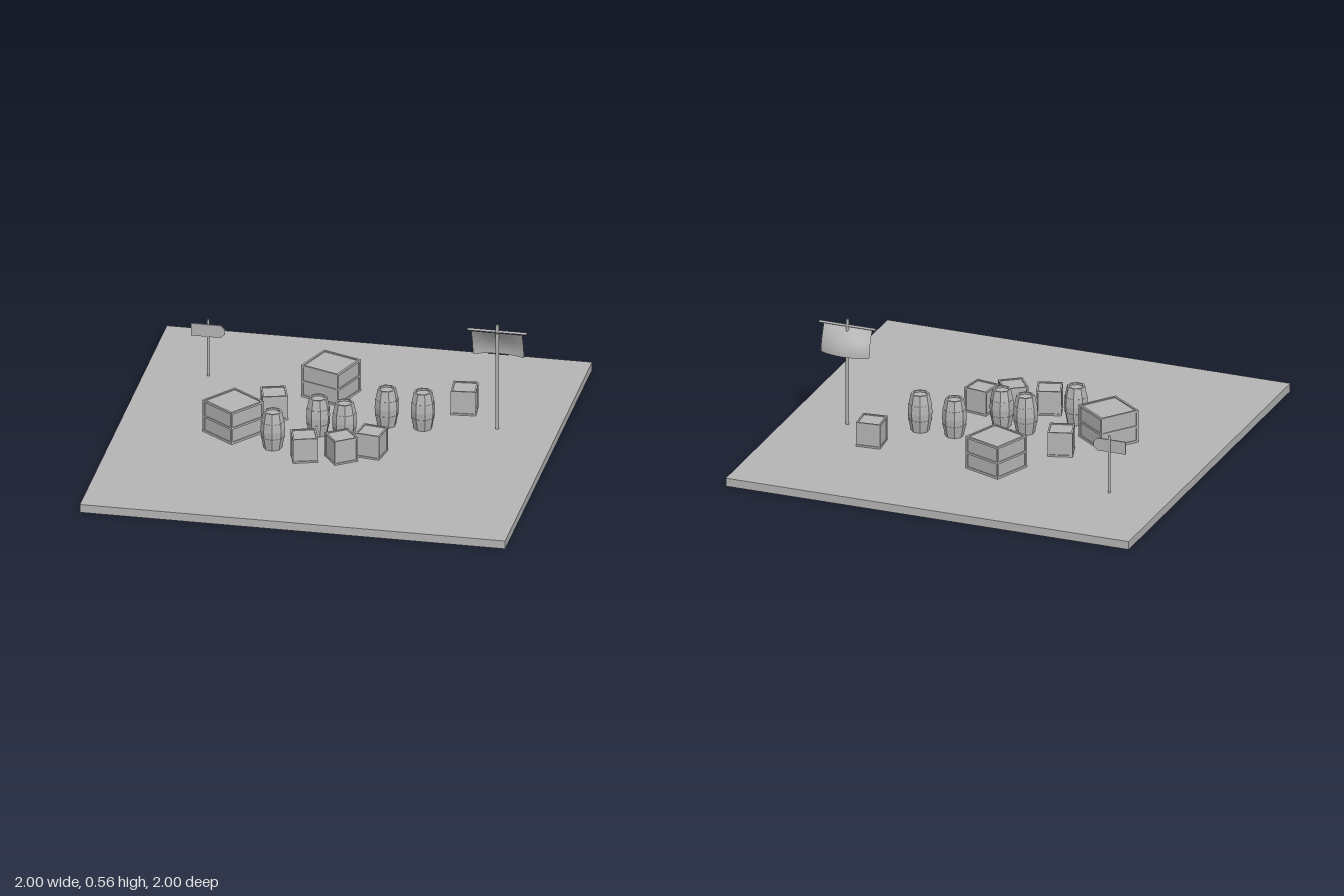
import * as THREE from 'three';

const grey = new THREE.MeshStandardMaterial({ color: 0xb4b4b4 });
grey.name = 'plain grey';
const greyFlat = grey;
const GROUND = 0.04;

function add(parent, name, geometry, x = 0, y = 0, z = 0, material = grey) {
  const mesh = new THREE.Mesh(geometry, material);
  mesh.name = name;
  mesh.position.set(x, y, z);
  parent.add(mesh);
  return mesh;
}

// Crate: recessed core inside a thin frame, with an optional middle band
function crate(name, x, z, size, height, turn, banded) {
  const g = new THREE.Group();
  g.name = name;
  g.position.set(x, GROUND, z);
  g.rotation.y = turn;
  const bar = banded ? 0.01 : 0.008;
  const inset = 0.005;
  const edge = size / 2 - bar / 2;
  add(g, 'cratePanels', new THREE.BoxGeometry(size - 2 * inset, height - inset, size - 2 * inset), 0, (height - inset) / 2, 0);
  const levels = [bar / 2, height - bar / 2];
  if (banded) levels.push(height * 0.52 - bar / 2);
  for (const s of [-1, 1]) {
    for (const t of [-1, 1]) {
      add(g, 'cornerPost', new THREE.BoxGeometry(bar, height, bar), s * edge, height / 2, t * edge);
    }
    for (const y of levels) {
      add(g, 'frameRail', new THREE.BoxGeometry(size - 2 * bar, bar, bar), 0, y, s * edge);
      add(g, 'frameRail', new THREE.BoxGeometry(bar, bar, size - 2 * bar), s * edge, y, 0);
    }
  }
  return g;
}

// Barrel: eight staves, recessed lid and two hoops
function barrel(x, z, turn) {
  const g = new THREE.Group();
  g.name = 'barrel';
  g.position.set(x, GROUND, z);
  g.rotation.y = turn;
  const profile = [[0, 0], [0.043, 0], [0.053, 0.05], [0.057, 0.092], [0.053, 0.134],
    [0.043, 0.184], [0.034, 0.184], [0.034, 0.175], [0, 0.175]].map(p => new THREE.Vector2(...p));
  const body = new THREE.LatheGeometry(profile, 8).toNonIndexed();
  body.computeVertexNormals();
  add(g, 'barrelBody', body);
  for (const y of [0.055, 0.129]) {
    add(g, 'barrelHoop', new THREE.CylinderGeometry(y > 0.1 ? 0.0545 : 0.056, y > 0.1 ? 0.056 : 0.0545, 0.01, 8, 1).toNonIndexed(), 0, y, 0);
  }
  g.children.forEach(m => m.geometry.computeVertexNormals());
  return g;
}

// Cloth hanging from the yard and blown backwards
function sailGeometry(width, height) {
  const geo = new THREE.PlaneGeometry(width, height, 12, 8);
  const p = geo.attributes.position;
  for (let i = 0; i < p.count; i++) {
    const u = p.getX(i) / (width / 2);
    const t = 0.5 - p.getY(i) / height;
    const depth = 0.04 + 0.027 * (1 - u * u);
    p.setZ(i, -depth * Math.sin(t * Math.PI / 2));
  }
  geo.computeVertexNormals();
  return geo;
}

export function createModel() {
  const model = new THREE.Group();
  model.name = 'cargoYard';

  add(model, 'groundSlab', new THREE.BoxGeometry(2, GROUND, 2), 0, GROUND / 2, 0);

  // Crates: x, z, turn
  for (const [x, z, turn] of [[-0.467, 0.08, -0.64], [-0.11, -0.42, -0.36]]) {
    model.add(crate('largeCrate', x, z, 0.2, 0.16, turn, true));
  }
  for (const [x, z, turn] of [[-0.32, -0.14, 0.29], [0.53, -0.367, 0.09], [-0.09, 0.29, 0.31],
    [0.08, 0.265, 0.62], [0.205, 0.185, -0.16]]) {
    model.add(crate('smallCrate', x, z, 0.117, 0.12, turn, false));
  }

  // Barrels: x, z, turn
  for (const [x, z, turn] of [[-0.08, 0.018, 0.39], [0.05, 0.048, 0.25], [0.21, -0.14, 0.39],
    [0.38, -0.14, 0.39], [-0.255, 0.208, 0.15]]) {
    model.add(barrel(x, z, turn));
  }

  // Mast with yard and sail
  const mast = new THREE.Group();
  mast.name = 'sailMast';
  mast.position.set(0.717, 0, -0.2);
  add(mast, 'mastPole', new THREE.CylinderGeometry(0.008, 0.009, 0.525, 8), 0, 0.3025, 0);
  add(mast, 'yard', new THREE.CylinderGeometry(0.006, 0.006, 0.28, 8).rotateZ(Math.PI / 2), 0, 0.533, 0);
  const cloth = sailGeometry(0.24, 0.135);
  add(mast, 'sail', cloth, 0, 0.463, 0.012);
  // Reverse face of the cloth
  const back = cloth.clone();
  const idx = back.index;
  for (let i = 0; i < idx.count; i += 3) {
    const a = idx.getX(i);
    idx.setX(i, idx.getX(i + 1));
    idx.setX(i + 1, a);
  }
  back.computeVertexNormals();
  add(mast, 'sailBack', back, 0, 0.463, 0.011);
  model.add(mast);

  // Signpost with a pointed board
  const sign = new THREE.Group();
  sign.name = 'signpost';
  sign.position.set(-0.703, 0, -0.5);
  add(sign, 'signPole', new THREE.CylinderGeometry(0.006, 0.006, 0.285, 8), 0, 0.1825, 0);
  const outline = [[-0.08, 0.242], [0.06, 0.242], [0.08, 0.26], [0.08, 0.285], [0.06, 0.303], [-0.08, 0.303]];
  const board = new THREE.Shape(outline.map(p => new THREE.Vector2(...p)));
  add(sign, 'signBoard', new THREE.ExtrudeGeometry(board, { depth: 0.008, bevelEnabled: false }), 0, 0, 0.002);
  model.add(sign);

  return model;
}
